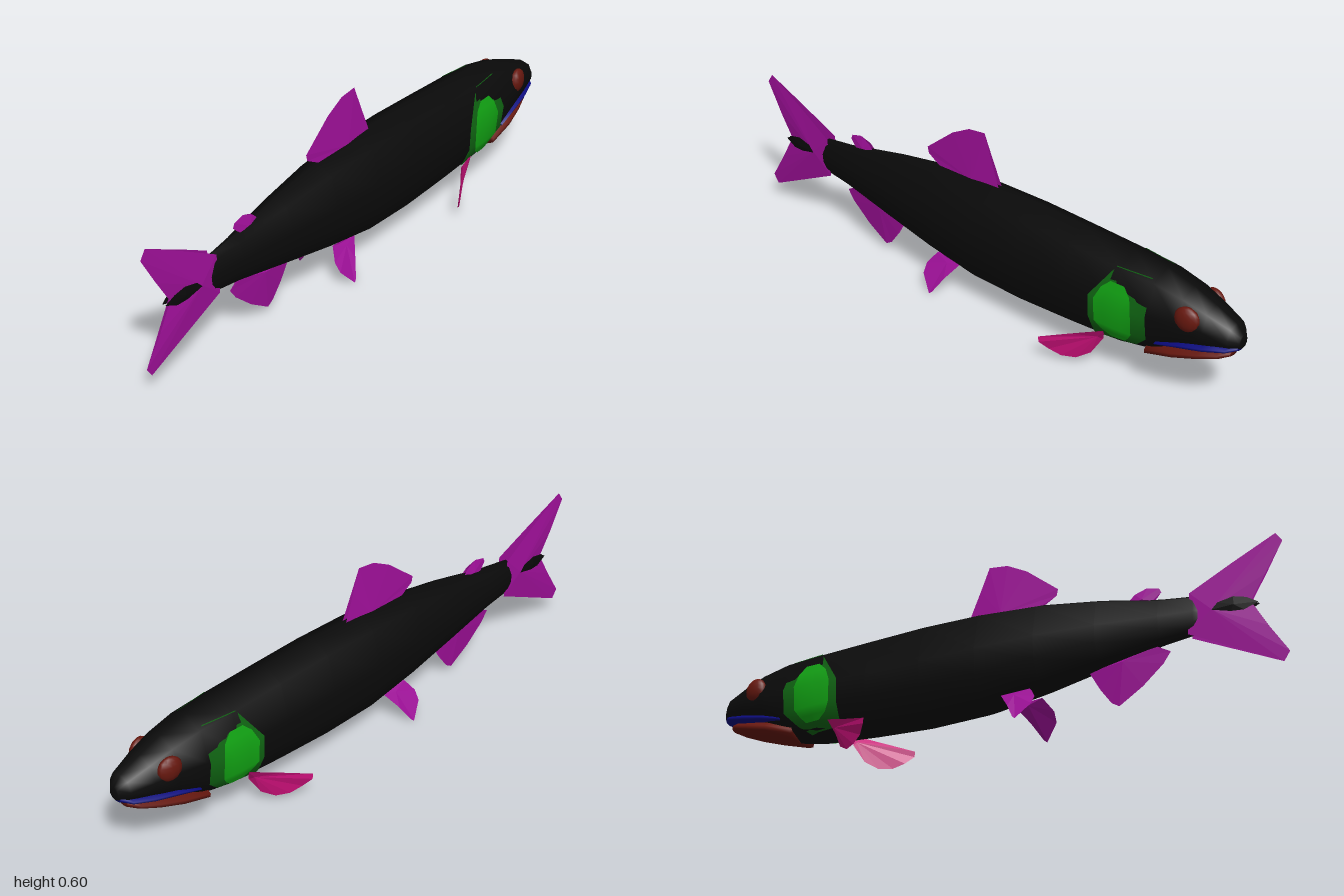
import * as THREE from 'three';

const paint = (name, color, extra = {}) => {
  const m = new THREE.MeshStandardMaterial({ color, ...extra });
  m.name = name;
  return m;
};

// Right half of the ring [x, y] in unit size, top to bottom, then mirrored
const HALF = [[0, 1], [0.7, 0.8], [1, 0.1], [0.96, -0.4], [0.62, -0.82], [0, -1]];
const RING = [...HALF, ...HALF.slice(1, -1).reverse().map(([x, y]) => [-x, y])];

// Body sections from snout to tail: z, top, bottom, half width
const BODY = [
  [-1.0, 0.295, 0.25, 0.02], [-0.975, 0.325, 0.24, 0.048], [-0.9, 0.357, 0.212, 0.068],
  [-0.82, 0.387, 0.18, 0.083], [-0.72, 0.412, 0.125, 0.094], [-0.6, 0.42, 0.1, 0.1],
  [-0.4, 0.43, 0.085, 0.1], [-0.2, 0.438, 0.075, 0.1], [0, 0.435, 0.08, 0.098],
  [0.2, 0.42, 0.11, 0.084], [0.4, 0.388, 0.148, 0.062], [0.6, 0.345, 0.187, 0.036],
  [0.71, 0.33, 0.2, 0.024], [0.74, 0.305, 0.225, 0.014],
];

function geometryFrom(positions, index) {
  const g = new THREE.BufferGeometry();
  g.setAttribute('position', new THREE.Float32BufferAttribute(positions, 3));
  if (index) g.setIndex(index);
  g.computeVertexNormals();
  return g;
}

// Closed skin through ring-shaped sections, capped at both ends
function loft(sections) {
  const n = RING.length, pos = [], idx = [];
  for (const [z, top, bottom, w] of sections) {
    for (const [x, y] of RING) pos.push(x * w, (top + bottom) / 2 + y * (top - bottom) / 2, z);
  }
  for (let i = 0; i < sections.length - 1; i++) {
    for (let j = 0; j < n; j++) {
      const a = i * n + j, b = i * n + (j + 1) % n;
      idx.push(a, a + n, b, b, a + n, b + n);
    }
  }
  const last = (sections.length - 1) * n;
  for (let j = 1; j < n - 1; j++) {
    idx.push(0, j, j + 1, last, last + j + 1, last + j);
  }
  return geometryFrom(pos, idx);
}

// Half width of the body skin at a given z and y
function bodyX(z, y) {
  let i = 0;
  while (i < BODY.length - 2 && BODY[i + 1][0] < z) i++;
  const a = BODY[i], b = BODY[i + 1], t = (z - a[0]) / (b[0] - a[0]);
  const [top, bottom, w] = [1, 2, 3].map((k) => a[k] + (b[k] - a[k]) * t);
  const v = (y - (top + bottom) / 2) / ((top - bottom) / 2);
  for (let k = 0; k < HALF.length - 1; k++) {
    const [x0, y0] = HALF[k], [x1, y1] = HALF[k + 1];
    if (v <= y0 && v >= y1) return w * (x0 + (x1 - x0) * (y0 - v) / (y0 - y1));
  }
  return 0;
}

// Fin: two fans from a hub, points are [x, y, z, half thickness], hub first
function fin(points, mirror = 1) {
  const pos = [];
  const put = ([x, y, z, t = 0], s) => pos.push(mirror * (x + s * t), y, z);
  const [hub, ...rim] = points;
  for (const s of [1, -1]) {
    rim.forEach((p, i) => {
      const q = rim[(i + 1) % rim.length];
      put(hub, s);
      put(s * mirror > 0 ? p : q, s);
      put(s * mirror > 0 ? q : p, s);
    });
  }
  return geometryFrom(pos);
}

// Plate lying over the body side, rows are [y, rear z, front z]
function plate(rows, lift, mirror) {
  const pos = [], idx = [], cols = 4;
  for (const [y, z0, z1] of rows) {
    for (let c = 0; c <= cols; c++) {
      const z = z0 + (z1 - z0) * c / cols;
      pos.push(mirror * (bodyX(z, y) + lift), y, z);
    }
  }
  for (let r = 0; r < rows.length - 1; r++) {
    for (let c = 0; c < cols; c++) {
      const a = r * (cols + 1) + c, b = a + cols + 1;
      if (mirror > 0) idx.push(a, b, a + 1, a + 1, b, b + 1);
      else idx.push(a, a + 1, b, a + 1, b + 1, b);
    }
  }
  return geometryFrom(pos, idx);
}

export function createModel() {
  const group = new THREE.Group();
  group.name = 'fish';
  const sheet = { side: THREE.DoubleSide, flatShading: true };
  const black = paint('bodyBlack', 0x0a0a0a);
  const magenta = paint('finMagenta', 0xa0109a, sheet);
  const pink = paint('pectoralPink', 0xc81078, sheet);
  const red = paint('jawRed', 0x68180f);
  const blue = paint('lipBlue', 0x0b0b80);
  const darkGreen = paint('gillDarkGreen', 0x0f6412, { side: THREE.DoubleSide });
  const green = paint('gillGreen', 0x12a514, { side: THREE.DoubleSide });

  const add = (name, geometry, material) => {
    const mesh = new THREE.Mesh(geometry, material);
    mesh.name = name;
    group.add(mesh);
    return mesh;
  };

  add('body', loft(BODY), black);

  // Mouth
  add('upperLip', loft([
    [-0.995, 0.264, 0.243, 0.022], [-0.97, 0.262, 0.234, 0.05], [-0.9, 0.25, 0.214, 0.068],
    [-0.82, 0.232, 0.196, 0.077], [-0.74, 0.2, 0.18, 0.083],
  ]), blue);
  add('lowerJaw', loft([
    [-0.97, 0.236, 0.212, 0.02], [-0.94, 0.233, 0.196, 0.045], [-0.88, 0.222, 0.172, 0.062],
    [-0.8, 0.204, 0.146, 0.076], [-0.7, 0.17, 0.117, 0.074],
  ]), red);

  // Fins on the centre line
  add('tailFin', fin([
    [0, 0.265, 0.77, 0.02], [0, 0.335, 0.7, 0.018], [0, 0.41, 0.84, 0.008], [0, 0.48, 0.98],
    [0, 0.45, 1], [0, 0.35, 0.94, 0.004], [0, 0.27, 0.89, 0.004], [0, 0.18, 0.94, 0.004],
    [0, 0.085, 1], [0, 0.055, 0.98], [0, 0.12, 0.85, 0.008], [0, 0.2, 0.69, 0.018],
  ]), magenta);
  add('tailPatch', fin([
    [0, 0.265, 0.84, 0.019], [0, 0.283, 0.79, 0.019], [0, 0.293, 0.84, 0.016],
    [0, 0.283, 0.88, 0.012], [0, 0.262, 0.915, 0.006], [0, 0.244, 0.87, 0.012],
    [0, 0.246, 0.83, 0.016], [0, 0.262, 0.77, 0.021],
  ]), paint('patchBlack', 0x0a0a0a, sheet));
  add('dorsalFin', fin([
    [0, 0.42, 0.05, 0.012], [0, 0.42, -0.065, 0.008], [0, 0.52, -0.025, 0.004], [0, 0.6, 0.005],
    [0, 0.592, 0.07], [0, 0.555, 0.14], [0, 0.465, 0.25], [0, 0.443, 0.245], [0, 0.4, 0.16, 0.008],
  ]), magenta);
  add('adiposeFin', fin([
    [0, 0.355, 0.54, 0.01], [0, 0.355, 0.49, 0.006], [0, 0.38, 0.515, 0.004], [0, 0.395, 0.555],
    [0, 0.385, 0.595], [0, 0.37, 0.602], [0, 0.345, 0.575, 0.006],
  ]), magenta);
  add('analFin', fin([
    [0, 0.16, 0.47, 0.012], [0, 0.15, 0.355, 0.008], [0, 0.085, 0.39, 0.004], [0, 0.035, 0.425],
    [0, 0.02, 0.45], [0, 0.07, 0.53], [0, 0.13, 0.6], [0, 0.165, 0.625], [0, 0.19, 0.58, 0.006],
  ]), magenta);

  // Paired parts
  for (const [side, s] of [['left', 1], ['right', -1]]) {
    add(side + 'PelvicFin', fin([
      [0.048, 0.105, 0.12, 0.008], [0.045, 0.115, 0.07, 0.004], [0.08, 0.06, 0.11, 0.003],
      [0.108, 0.008, 0.14], [0.111, 0, 0.15], [0.088, 0.05, 0.195], [0.068, 0.08, 0.197],
      [0.042, 0.12, 0.17, 0.004],
    ], s), magenta);
    add(side + 'PectoralFin', fin([
      [0.07, 0.115, -0.525, 0.006], [0.078, 0.148, -0.55, 0.002], [0.12, 0.115, -0.45],
      [0.162, 0.085, -0.36], [0.162, 0.066, -0.362], [0.14, 0.04, -0.385], [0.122, 0.022, -0.42],
      [0.098, 0.02, -0.46], [0.075, 0.045, -0.5], [0.055, 0.1, -0.53, 0.002],
    ], s), pink);
    add(side + 'GillCover', plate([
      [0.392, -0.585, -0.705], [0.276, -0.505, -0.715], [0.196, -0.505, -0.715],
      [0.15, -0.505, -0.67], [0.122, -0.505, -0.63],
    ], 0.006, s), darkGreen);
    add(side + 'GillPlate', plate([
      [0.348, -0.58, -0.63], [0.32, -0.55, -0.655], [0.276, -0.53, -0.667],
      [0.196, -0.532, -0.667], [0.17, -0.55, -0.65], [0.15, -0.58, -0.63],
    ], 0.012, s), green);
    const eye = add(side + 'Eye', new THREE.SphereGeometry(0.042, 12, 8), red);
    eye.scale.x = 0.5;
    eye.position.set(s * 0.068, 0.315, -0.845);
    eye.rotation.y = s * 0.15;
  }
  return group;
}
